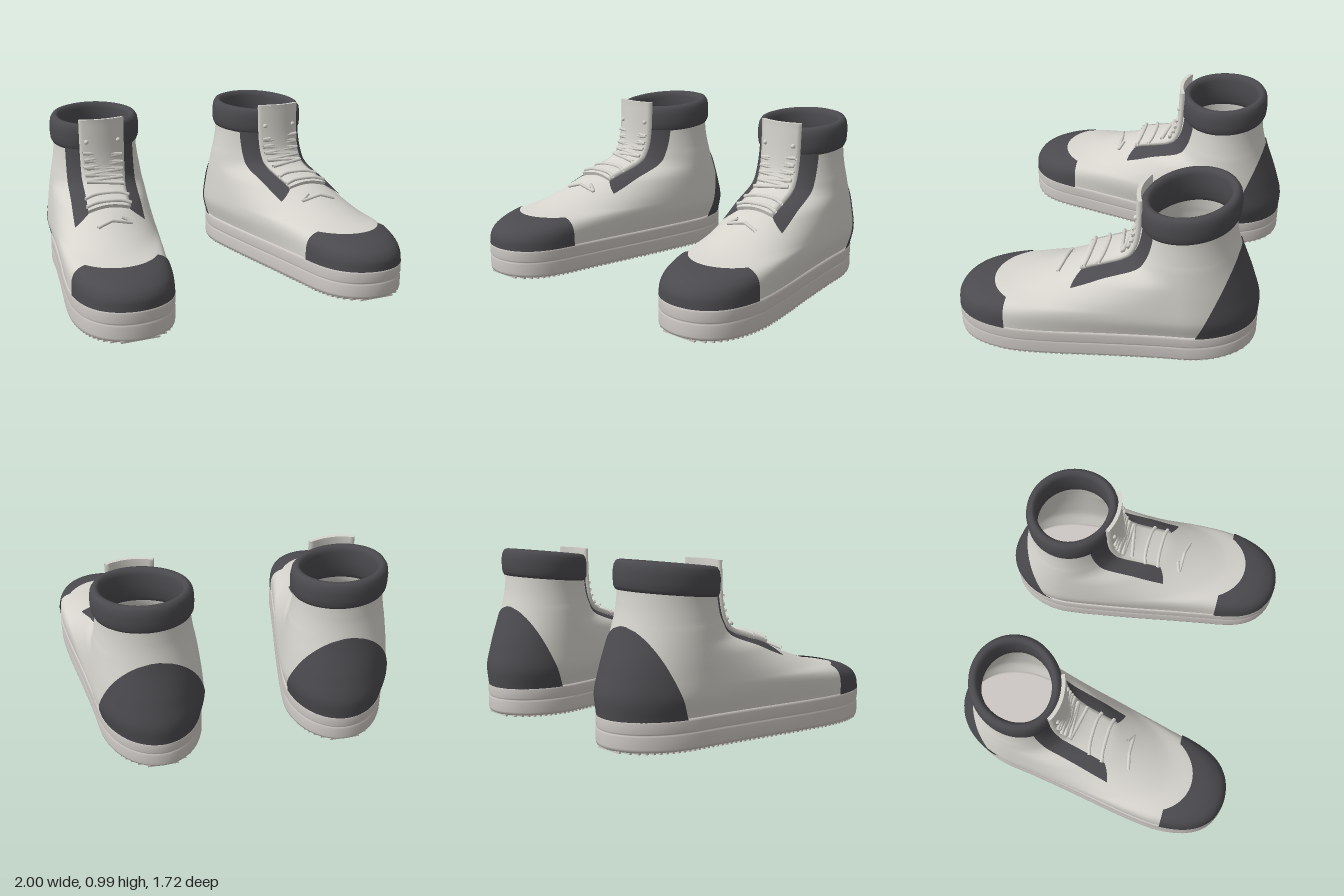
import * as THREE from 'three';
import { mergeGeometries, mergeVertices } from 'three/addons/utils/BufferGeometryUtils.js';

const V = (x, y, z) => new THREE.Vector3(x, y, z);
const lerp = THREE.MathUtils.lerp;

// Smooth monotone lookup through [input, output] pairs
function table(pts) {
  const n = pts.length;
  const slope = i => (pts[i + 1][1] - pts[i][1]) / (pts[i + 1][0] - pts[i][0]);
  const tan = pts.map((_, i) => {
    if (i === 0) return slope(0);
    if (i === n - 1) return slope(n - 2);
    const a = slope(i - 1), b = slope(i);
    return a * b <= 0 ? 0 : 2 * a * b / (a + b);
  });
  return x => {
    if (x <= pts[0][0]) return pts[0][1];
    if (x >= pts[n - 1][0]) return pts[n - 1][1];
    let i = 0;
    while (x > pts[i + 1][0]) i++;
    const h = pts[i + 1][0] - pts[i][0], t = (x - pts[i][0]) / h, t2 = t * t, t3 = t2 * t;
    return (2 * t3 - 3 * t2 + 1) * pts[i][1] + (t3 - 2 * t2 + t) * h * tan[i]
      + (3 * t2 - 2 * t3) * pts[i + 1][1] + (t3 - t2) * h * tan[i + 1];
  };
}

// Shape of the shoe: foot centre line by z, all other values by height
const ZC = -0.45;
const centre = table([[-0.86, 0.53], [-0.45, 0.558], [-0.2, 0.595], [0, 0.63], [0.3, 0.685], [0.5, 0.712], [0.85, 0.725]]);
const frontZ = table([[0.17, 0.85], [0.22, 0.846], [0.26, 0.825], [0.3, 0.76], [0.33, 0.65], [0.35, 0.53], [0.4, 0.37],
  [0.45, 0.24], [0.5, 0.12], [0.53, 0.02], [0.56, -0.07], [0.6, -0.135], [0.7, -0.185], [0.8, -0.2], [0.95, -0.21]]);
const backZ = table([[0.17, -0.845], [0.26, -0.85], [0.4, -0.815], [0.64, -0.73], [0.75, -0.707], [0.84, -0.7], [0.95, -0.7]]);
const heelW = table([[0.17, 0.288], [0.3, 0.316], [0.42, 0.308], [0.63, 0.282], [0.67, 0.274], [0.79, 0.26], [0.95, 0.256]]);
const toeW = table([[0.17, 0.288], [0.45, 0.286], [0.65, 0.274], [0.79, 0.26], [0.95, 0.256]]);
const power = table([[0.17, 9], [0.26, 8], [0.33, 6], [0.35, 4.8], [0.4, 3.5], [0.45, 2.8], [0.5, 2.4], [0.56, 2]]);

function halfWidth(y, c) {
  const w = c > 0 ? lerp(heelW(y), toeW(y), c * c * (3 - 2 * c)) : heelW(y);
  return w * Math.sqrt(Math.max(0, 1 - Math.abs(c) ** (c > 0 ? power(y) : 2)));
}
// Point at height y and angle a around the foot (0 = toe, turning to the outer side)
function base(y, a) {
  const c = Math.cos(a);
  const z = ZC + c * (c > 0 ? frontZ(y) - ZC : ZC - backZ(y));
  return V(centre(z) + Math.sign(Math.sin(a)) * halfWidth(y, c), y, z);
}
function surf(y, a, off = 0) {
  const p = base(y, a);
  if (!off) return p;
  const da = base(y, a + 0.01).sub(base(y, a - 0.01));
  const dy = base(y + 0.004, a).sub(base(y - 0.004, a));
  return p.addScaledVector(da.cross(dy).normalize(), off);
}
// Point on the instep at height y, dx sideways from the centre line
function instep(y, dx, off) {
  let lo = 0, hi = Math.PI / 2;
  for (let i = 0; i < 30; i++) {
    const m = (lo + hi) / 2;
    if (halfWidth(y, Math.cos(m)) < Math.abs(dx)) lo = m; else hi = m;
  }
  return surf(y, Math.sign(dx) * lo, off);
}

// Surface over a u-v grid; faces outward when u runs right and v runs up
function grid(nu, nv, fn) {
  const pos = [], idx = [], row = nu + 1;
  for (let j = 0; j <= nv; j++) for (let i = 0; i <= nu; i++) pos.push(...fn(i / nu, j / nv).toArray());
  for (let j = 0; j < nv; j++) for (let i = 0; i < nu; i++) {
    const a = j * row + i, b = a + 1, c = b + row, d = a + row;
    idx.push(a, b, c, a, c, d);
  }
  let g = new THREE.BufferGeometry();
  g.setAttribute('position', new THREE.Float32BufferAttribute(pos, 3));
  g.setIndex(idx);
  g = mergeVertices(g, 1e-5);
  g.computeVertexNormals();
  return g;
}
// Sweep a profile of [outward offset, height] around the ring at height y0
function sweep(y0, profile, tilt = 0) {
  const n = profile.length - 1;
  return grid(80, n, (u, v) => {
    const a = u * Math.PI * 2, [off, y] = profile[Math.round(v * n)], p = base(y0, a);
    return V(p.x + off * Math.sin(a), y - (p.z - ZC) * tilt, p.z + off * Math.cos(a));
  });
}
const disc = (y, off, up) => grid(80, 4, (u, v) => {
  const a = u * Math.PI * 2, p = base(0.18, a);
  p.set(p.x + off * Math.sin(a), y, p.z + off * Math.cos(a));
  return V(0.63, y, 0).lerp(p, up ? 1 - v : v);
});
const tube = (pts, r, tension = 0.15) =>
  new THREE.TubeGeometry(new THREE.CatmullRomCurve3(pts, false, 'catmullrom', tension), pts.length * 10, r, 7);

function mirror(geo) {
  const g = geo.clone().scale(-1, 1, 1), ix = g.index;
  for (let i = 0; i < ix.count; i += 3) {
    const t = ix.getX(i);
    ix.setX(i, ix.getX(i + 1));
    ix.setX(i + 1, t);
  }
  return g;
}

export function createModel() {
  const mat = (name, color) => new THREE.MeshStandardMaterial({ name, color, side: THREE.DoubleSide });
  const cream = mat('cream', 0xd6d4cd), rubber = mat('rubber', 0xcdc8c4), dark = mat('charcoal', 0x4b4a4e);
  const parts = [];
  const add = (name, geo, m) => parts.push([name, geo, m]);

  // Sole: grooved wall, top and bottom, ribbed tread
  add('soleWall', sweep(0.18, [[-0.008, 0.008], [0.006, 0.016], [0.009, 0.03], [0.009, 0.092], [0.003, 0.1],
    [0.003, 0.106], [0.009, 0.114], [0.009, 0.165], [0.004, 0.178], [-0.012, 0.182]]), rubber);
  add('insole', disc(0.182, -0.012, true), rubber);
  add('soleBottom', disc(0.008, -0.008, false), rubber);
  const ribs = [];
  for (let z = -0.825; z < 0.83; z += 0.03) {
    const c = (z - ZC) / (z > ZC ? frontZ(0.18) - ZC : ZC - backZ(0.18));
    ribs.push(new THREE.BoxGeometry(2 * halfWidth(0.18, c) - 0.01, 0.01, 0.015).translate(centre(z), 0.005, z));
  }
  add('treadRibs', mergeGeometries(ribs), rubber);

  // Upper from sole to collar
  add('upper', grid(88, 64, (u, v) => surf(0.17 + 0.73 * v ** 1.25, u * Math.PI * 2)), cream);

  // Padded collar, tilted up toward the back
  add('collar', sweep(0.86, [[-0.005, 0.8], [0.01, 0.806], [0.019, 0.825], [0.022, 0.86], [0.022, 0.905], [0.016, 0.94],
    [0.003, 0.96], [-0.015, 0.965], [-0.031, 0.955], [-0.04, 0.93], [-0.042, 0.86], [-0.035, 0.78], [-0.01, 0.74]], 0.1), dark);

  // Toe cap and heel panel lie on the upper
  add('toeCap', grid(48, 16, (u, v) => {
    const y = lerp(0.175, 0.333, v), a = Math.acos((0.51 - ZC) / (frontZ(y) - ZC));
    return surf(y, lerp(-a, a, u), 0.007);
  }), dark);
  add('heelPanel', grid(40, 24, (u, v) => {
    const y = lerp(0.165, 0.645, v), edge = lerp(-0.54, -0.728, v);
    const a = Math.acos(Math.min(1, (ZC - edge) / (ZC - backZ(y))));
    return surf(y, Math.PI + lerp(-a, a, u), 0.007);
  }), dark);

  // Lace trim on both sides of the throat
  for (const s of [1, -1]) add(s > 0 ? 'outerTrim' : 'innerTrim', grid(6, 40, (u, v) => {
    const k = s > 0 ? u : 1 - u, t = v ** 1.6;
    return instep(lerp(lerp(0.49, 0.425, k), lerp(0.94, 0.82, k), t), s * lerp(0.115, 0.205, k), 0.009);
  }), dark);

  // Tongue: a bent slab closed by its own cross-section loop
  const tonguePoint = (dx, t, off) => {
    const y = lerp(0.505, 0.975, t ** 1.5) - (1 - t) * 1.3 * dx * dx;
    return instep(y, dx, off + 0.014 * t);
  };
  const N = 12;
  add('tongue', grid(2 * N + 2, 36, (u, v) => {
    const i = Math.round(u * (2 * N + 2));
    if (i <= N) return tonguePoint(lerp(-0.12, 0.12, i / N), v, 0.03);
    if (i <= 2 * N + 1) return tonguePoint(lerp(0.12, -0.12, (i - N - 1) / N), v, 0.008);
    return tonguePoint(-0.12, v, 0.03);
  }), cream);
  for (const end of [0, 1]) add(end ? 'tongueTop' : 'tongueTip', grid(N, 1, (u, v) =>
    tonguePoint(lerp(-0.12, 0.12, u), end, (v === end) ? 0.008 : 0.03)), cream);

  // Laces: zigzag, tongue bar and loose end on the vamp
  const zig = [];
  for (let i = 0; i < 10; i++) zig.push(instep(0.555 + i * 0.024, (i % 2 ? 1 : -1) * 0.105, 0.05));
  add('laceZigzag', tube(zig, 0.011), cream);
  for (const y of [0.515, 0.54]) add('laceBar',
    tube([-0.125, -0.06, 0.06, 0.125].map(d => instep(y - 1.3 * d * d, d, 0.036)), 0.011, 0.5), cream);
  add('laceEnd', tube([instep(0.437, 0.085, 0.012), instep(0.455, 0, 0.02), instep(0.436, -0.12, 0.012),
    instep(0.462, -0.06, 0.02)], 0.01), cream);

  // Eyelet studs near the top of the tongue
  for (const s of [1, -1]) {
    const p = instep(0.84, s * 0.085, 0.042);
    add('stud', new THREE.SphereGeometry(0.014, 12, 8).translate(p.x, p.y, p.z), cream);
  }

  const model = new THREE.Group();
  model.name = 'pairOfShoes';
  for (const side of ['left', 'right']) {
    const shoe = new THREE.Group();
    shoe.name = side + 'Shoe';
    for (const [name, geo, m] of parts) {
      const mesh = new THREE.Mesh(side === 'left' ? geo : mirror(geo), m);
      mesh.name = name;
      shoe.add(mesh);
    }
    model.add(shoe);
  }
  return model;
}
